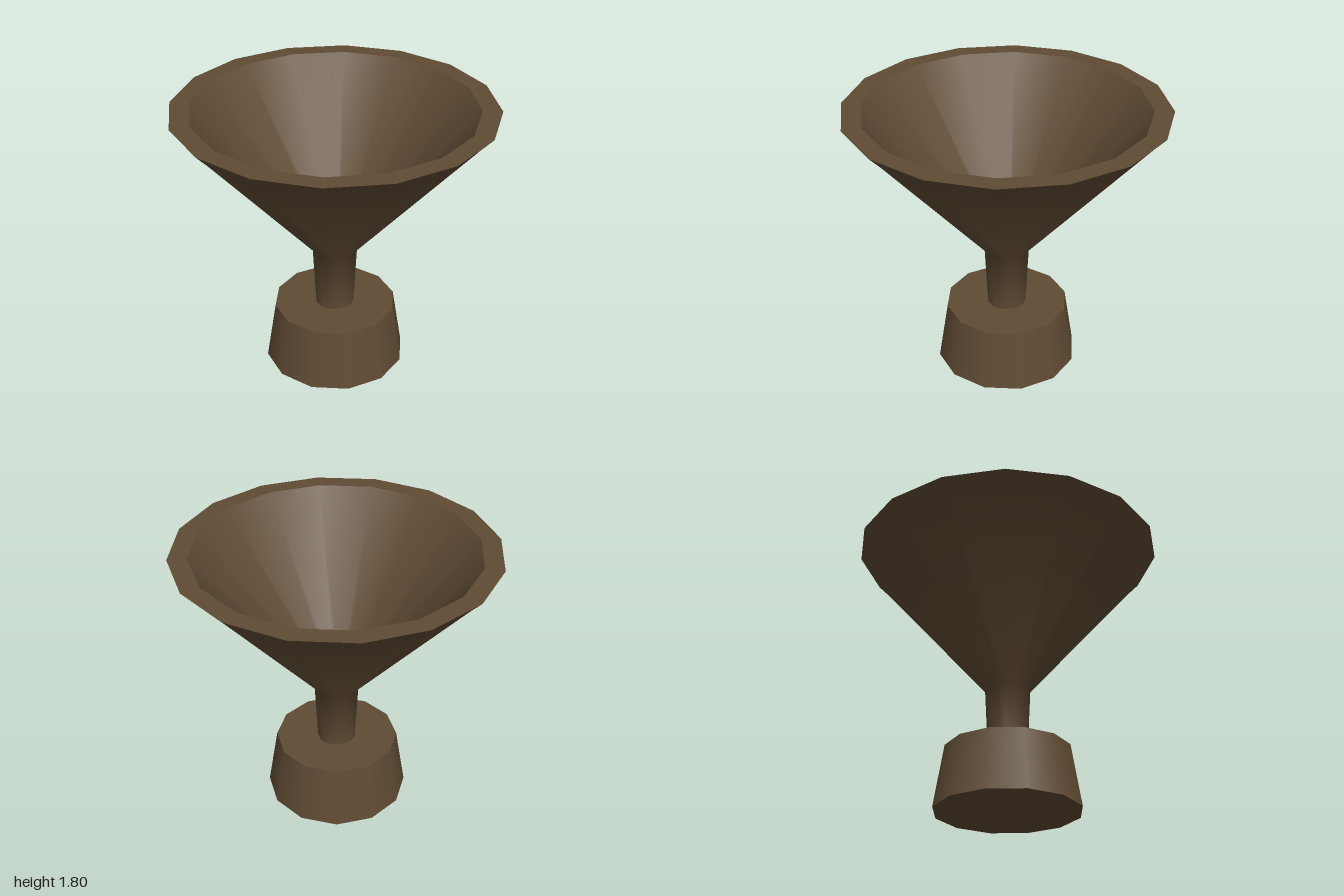
import * as THREE from 'three';

export function createModel() {
  const model = new THREE.Group();
  const wood = new THREE.MeshStandardMaterial({ color: 0x604b34 });
  wood.name = 'dark wood';

  const SIDES = 16;
  const add = (name, geometry) => {
    const mesh = new THREE.Mesh(geometry, wood);
    mesh.name = name;
    model.add(mesh);
    return mesh;
  };
  // Profiles run upward for outward faces, downward for inward faces
  const lathe = (name, profile) =>
    add(name, new THREE.LatheGeometry(profile.map(([r, y]) => new THREE.Vector2(r, y)), SIDES));

  // Tapered twelve-sided foot
  add('foot', new THREE.CylinderGeometry(0.4, 0.465, 0.4, 12)).position.y = 0.2;

  // Stem flowing into the flared bowl
  lathe('stemAndBowlOutside', [[0.125, 0.4], [0.145, 0.81], [0.93, 1.725], [1, 1.8]]);

  // Hollow inside of the bowl and stem, ending on the foot
  lathe('bowlInside', [[0.88, 1.8], [0.095, 0.82]]);
  lathe('stemInside', [[0.095, 0.82], [0.08, 0.4]]);

  // Flat rim closing the wall at the top
  const rim = add('rim', new THREE.RingGeometry(0.88, 1, SIDES));
  rim.rotation.x = -Math.PI / 2;
  rim.position.y = 1.8;

  return model;
}
